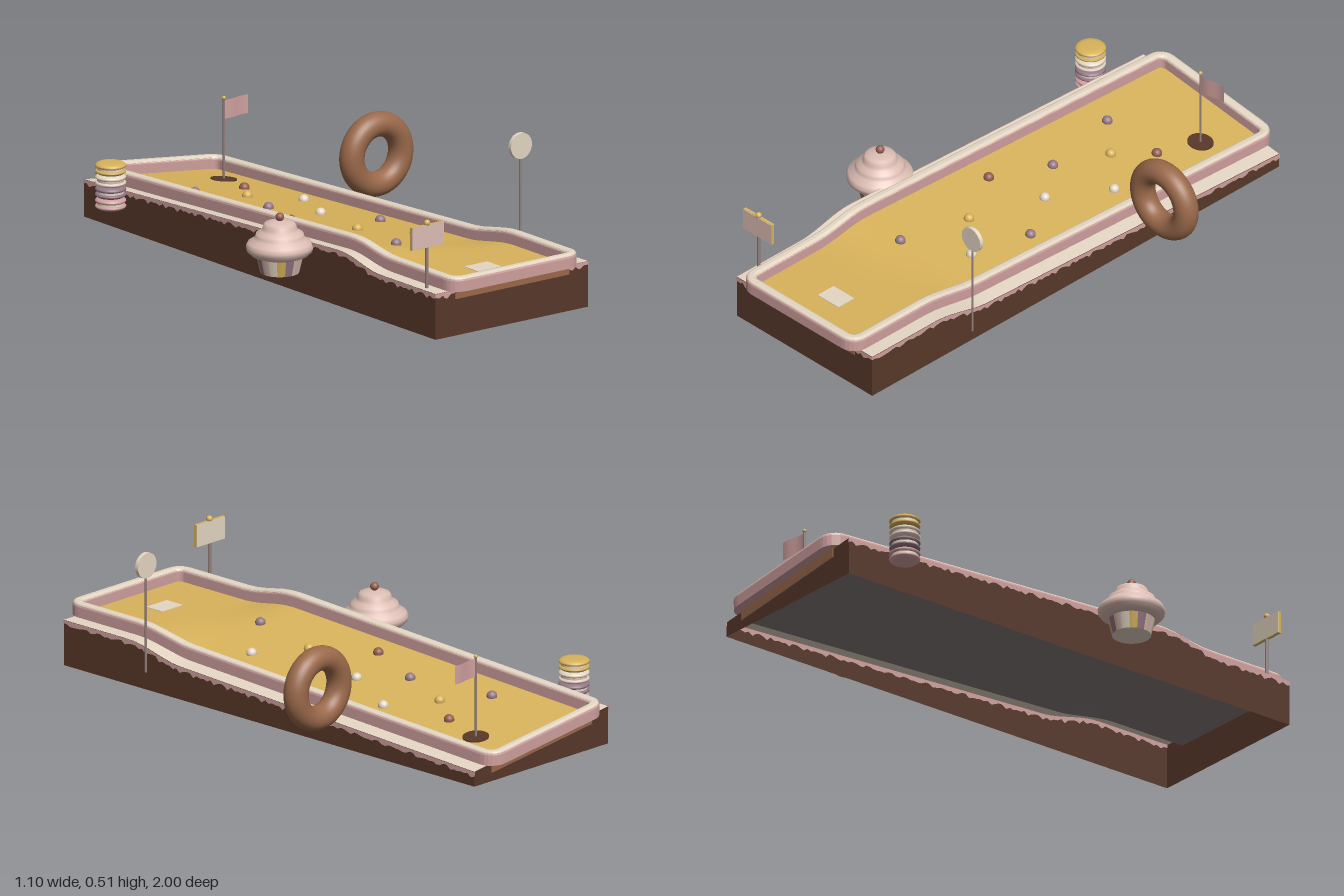
import * as THREE from 'three';

const mat = (name, color, side = THREE.FrontSide) => {
  const m = new THREE.MeshStandardMaterial({ color, side });
  m.name = name;
  return m;
};

const CX = -0.03; // course centre line

// Height of the putting surface: level tee, then a banked ramp falling to the back
function surface(x, z) {
  const bank = 1 - THREE.MathUtils.smoothstep(z, 0.42, 0.66);
  return 0.165 - 0.047 * Math.max(0, 0.5 - z) - 0.12 * (x - CX) * bank;
}

// Rounded rectangle path with outward normals
function railPath(hx, hz, r) {
  const path = [], signs = [[1, 1], [-1, 1], [-1, -1], [1, -1]];
  signs.forEach(([sx, sz], k) => {
    const cx = CX + sx * (hx - r), cz = sz * (hz - r);
    for (let i = 0; i <= 6; i++) {
      const a = (k + i / 6) * Math.PI / 2;
      path.push({ x: cx + r * Math.cos(a), z: cz + r * Math.sin(a), nx: Math.cos(a), nz: Math.sin(a) });
    }
    const [tx, tz] = signs[(k + 1) % 4], p = path[path.length - 1];
    const dx = (tx - sx) * (hx - r), dz = (tz - sz) * (hz - r);
    const n = Math.round(Math.hypot(dx, dz) / 0.04);
    for (let i = 1; i < n; i++) path.push({ ...p, x: p.x + dx * i / n, z: p.z + dz * i / n });
  });
  return path;
}

// Sweep a closed section (outward, up) round the path, following the surface
function sweep(section, path) {
  const pos = [], m = section.length, n = path.length;
  const point = (i, j) => {
    const p = path[i % n], [o, y] = section[j % m];
    return [p.x + p.nx * o, surface(p.x, p.z) + y, p.z + p.nz * o];
  };
  for (let i = 0; i < n; i++) for (let j = 0; j < m; j++) {
    const a = point(i, j), b = point(i, j + 1), c = point(i + 1, j), d = point(i + 1, j + 1);
    pos.push(...a, ...b, ...c, ...b, ...d, ...c);
  }
  const g = new THREE.BufferGeometry();
  g.setAttribute('position', new THREE.Float32BufferAttribute(pos, 3));
  g.computeVertexNormals();
  return g;
}

// Box whose top, and optionally bottom, follows the surface
function courseBox(w, l, topOffset, bottom) {
  const g = new THREE.BoxGeometry(w, 1, l, 10, 1, 72);
  g.translate(CX, 0, 0);
  const p = g.attributes.position;
  for (let i = 0; i < p.count; i++) {
    const s = surface(p.getX(i), p.getZ(i));
    p.setY(i, p.getY(i) > 0 ? s + topOffset : bottom(s));
  }
  g.computeVertexNormals();
  return g;
}

export function createModel() {
  const root = new THREE.Group();
  const gold = mat('gold', 0xd9b35b), pink = mat('pink', 0xd1a2a0, THREE.DoubleSide);
  const cream = mat('cream', 0xe4d6c3, THREE.DoubleSide), chocolate = mat('chocolate', 0x58382a, THREE.DoubleSide);
  const caramel = mat('caramel', 0x9a694a), dark = mat('grey underside', 0x867a7c);
  const frosting = mat('frosting', 0xdcbdb3), mauve = mat('mauve', 0x957886);
  const stick = mat('stick', 0x957f7b), cocoa = mat('cocoa', 0x935f4f);

  const add = (name, geo, material, x = 0, y = 0, z = 0, parent = root) => {
    const m = new THREE.Mesh(geo, material);
    m.name = name;
    m.position.set(x, y, z);
    parent.add(m);
    return m;
  };
  const group = (name, x, y, z) => {
    const g = new THREE.Group();
    g.name = name;
    g.position.set(x, y, z);
    root.add(g);
    return g;
  };
  const lathe = (pts, n = 40) => new THREE.LatheGeometry(pts.map(p => new THREE.Vector2(...p)), n);
  const pole = (r, h) => new THREE.CylinderGeometry(r, r, h, 12).translate(0, h / 2, 0);

  // Hollow base, open underneath, with a cream ledge on top
  const base = courseBox(0.655, 1.92, -0.004, () => 0);
  const cut = base.groups[3];
  const idx = Array.from(base.index.array);
  idx.splice(cut.start, cut.count);
  base.setIndex(idx);
  base.groups = base.groups.filter(g => g !== cut)
    .map(g => ({ ...g, start: g.start > cut.start ? g.start - cut.count : g.start }));
  add('base', base, [chocolate, chocolate, cream, chocolate, chocolate, chocolate]);

  // Putting surface slab
  add('puttingSurface', courseBox(0.49, 1.928, 0, s => s - 0.036), [caramel, caramel, gold, dark, caramel, caramel]);

  // Icing drips round the base edge, outside and inside the walls
  const drip = (name, x0, z0, x1, z1) => {
    const g = new THREE.PlaneGeometry(1, 1, 120, 1), p = g.attributes.position;
    for (let i = 0; i < p.count; i++) {
      const t = p.getX(i) + 0.5, x = x0 + (x1 - x0) * t, z = z0 + (z1 - z0) * t;
      const s = 60 * (x + z), depth = 0.009 + 0.01 * Math.abs(Math.sin(s) + 0.5 * Math.sin(2.3 * s));
      p.setXYZ(i, x, surface(x, z) - 0.004 - (p.getY(i) > 0 ? 0 : depth), z);
    }
    g.computeVertexNormals();
    add(name, g, pink);
  };
  const bz = 0.962;
  for (const s of [1, -1]) for (const bx of [0.3295, 0.3255])
    drip('sideIcing', CX + s * bx, s * bz, CX + s * bx, -s * bz);
  drip('frontIcing', CX - 0.3295, bz, CX + 0.3295, bz);

  // Rail with a cream cap
  const path = railPath(0.26, 0.981, 0.04);
  add('rail', sweep([[-0.018, -0.003], [0.018, -0.003], [0.019, 0.034], [0.017, 0.04], [-0.017, 0.04], [-0.019, 0.034]], path), pink);
  add('railCap', sweep([[-0.018, 0.038], [0.017, 0.038], [0.014, 0.044], [0.007, 0.047], [-0.007, 0.047], [-0.014, 0.044]], path), cream);

  // Tee mat
  add('teeMat', new THREE.BoxGeometry(0.1, 0.004, 0.075), cream, -0.035, 0.165, 0.807);

  // Gumdrop bumps
  const bump = new THREE.SphereGeometry(0.018, 20, 14);
  [[-0.165, -0.6, mauve], [0.06, -0.615, cocoa], [-0.03, -0.485, gold], [0.115, -0.36, cream],
    [-0.1, -0.28, mauve], [0.01, -0.135, cream], [-0.18, -0.055, cocoa], [0.125, 0.045, mauve],
    [-0.06, 0.155, gold], [0.085, 0.285, cream], [-0.11, 0.43, mauve]]
    .forEach(([x, z, m]) => add('gumdrop', bump, m, x, surface(x, z) + 0.004, z));

  // Hole and flag
  const hole = group('holeAndFlag', 0.102, surface(0.102, -0.78), -0.78);
  const disc = add('hole', new THREE.CylinderGeometry(0.045, 0.045, 0.004, 32), chocolate, 0, 0.003, 0, hole);
  disc.rotation.set(-Math.atan(0.047), 0, -Math.atan(0.12));
  add('flagPole', pole(0.004, 0.285), stick, 0, 0, 0, hole);
  add('poleBall', new THREE.SphereGeometry(0.007, 14, 10), gold, 0, 0.288, 0, hole);
  const cloth = new THREE.PlaneGeometry(0.105, 0.066, 16, 1).translate(0.0555, 0.247, 0);
  const cp = cloth.attributes.position;
  for (let i = 0; i < cp.count; i++) cp.setZ(i, 0.003 * Math.sin(cp.getX(i) * 55) - 0.05 * cp.getX(i));
  cloth.computeVertexNormals();
  add('flag', cloth, pink, 0, 0, 0, hole);

  // Ring doughnut
  add('doughnut', new THREE.TorusGeometry(0.105, 0.043, 28, 64), caramel, 0.397, 0.23, -0.322);

  // Lollipop
  const lolly = group('lollipop', 0.344, 0.082, 0.532);
  add('lollipopStick', pole(0.004, 0.345), stick, 0, 0, 0, lolly);
  add('lollipopDisc', new THREE.CylinderGeometry(0.045, 0.045, 0.014, 40).rotateX(Math.PI / 2), cream, 0, 0.38, 0, lolly);

  // Signboard: gold frame with a face plate on each side
  const sign = group('sign', -0.333, 0.16, 0.882);
  add('signPost', pole(0.006, 0.2), stick, 0, 0, -0.001, sign);
  add('signBoard', new THREE.BoxGeometry(0.138, 0.08, 0.01), gold, 0, 0.184, 0, sign);
  add('signFace', new THREE.BoxGeometry(0.136, 0.078, 0.002), frosting, 0, 0.184, 0.0055, sign);
  add('signBack', new THREE.BoxGeometry(0.136, 0.078, 0.002), cream, 0, 0.184, -0.0065, sign);
  add('signBall', new THREE.SphereGeometry(0.011, 16, 12), gold, 0, 0.23, 0, sign);

  // Cupcake
  const cake = group('cupcake', -0.436, 0.083, 0.208);
  const stripes = [frosting, cream, gold, mauve], count = 16, step = Math.PI * 2 / count;
  for (let i = 0; i < count; i++)
    add('wrapperStripe', new THREE.CylinderGeometry(0.084, 0.066, 0.075, 2, 1, true, i * step, step), stripes[i % 4], 0, 0.0375, 0, cake);
  add('wrapperBottom', new THREE.CircleGeometry(0.066, 32).rotateX(Math.PI / 2), cream, 0, 0, 0, cake);
  add('frosting', lathe([[0, 0.055], [0.08, 0.056], [0.098, 0.063], [0.112, 0.077], [0.115, 0.092], [0.108, 0.106],
    [0.088, 0.118], [0.083, 0.128], [0.08, 0.138], [0.064, 0.147], [0.058, 0.155], [0.057, 0.165], [0.05, 0.174],
    [0.034, 0.178], [0.012, 0.182], [0, 0.183]]), frosting, 0, 0, 0, cake);
  add('cherry', new THREE.SphereGeometry(0.015, 20, 14), cocoa, 0, 0.194, 0, cake);

  // Stack of macarons
  const stack = group('macaronStack', -0.405, 0.083, -0.755);
  const shell = lathe([[0, 0], [0.048, 0], [0.053, 0.004], [0.052, 0.009], [0.045, 0.014], [0.03, 0.016], [0, 0.0165]]);
  [pink, mauve, cream, gold].forEach((m, i) => {
    const y = i * 0.041;
    add('macaronBottom', shell, m, 0, y + 0.0165, 0, stack).rotation.x = Math.PI;
    add('macaronFilling', new THREE.CylinderGeometry(0.046, 0.046, 0.01, 32), m === cream ? frosting : cream, 0, y + 0.0205, 0, stack);
    add('macaronTop', shell, m, 0, y + 0.0245, 0, stack);
  });

  return root;
}
